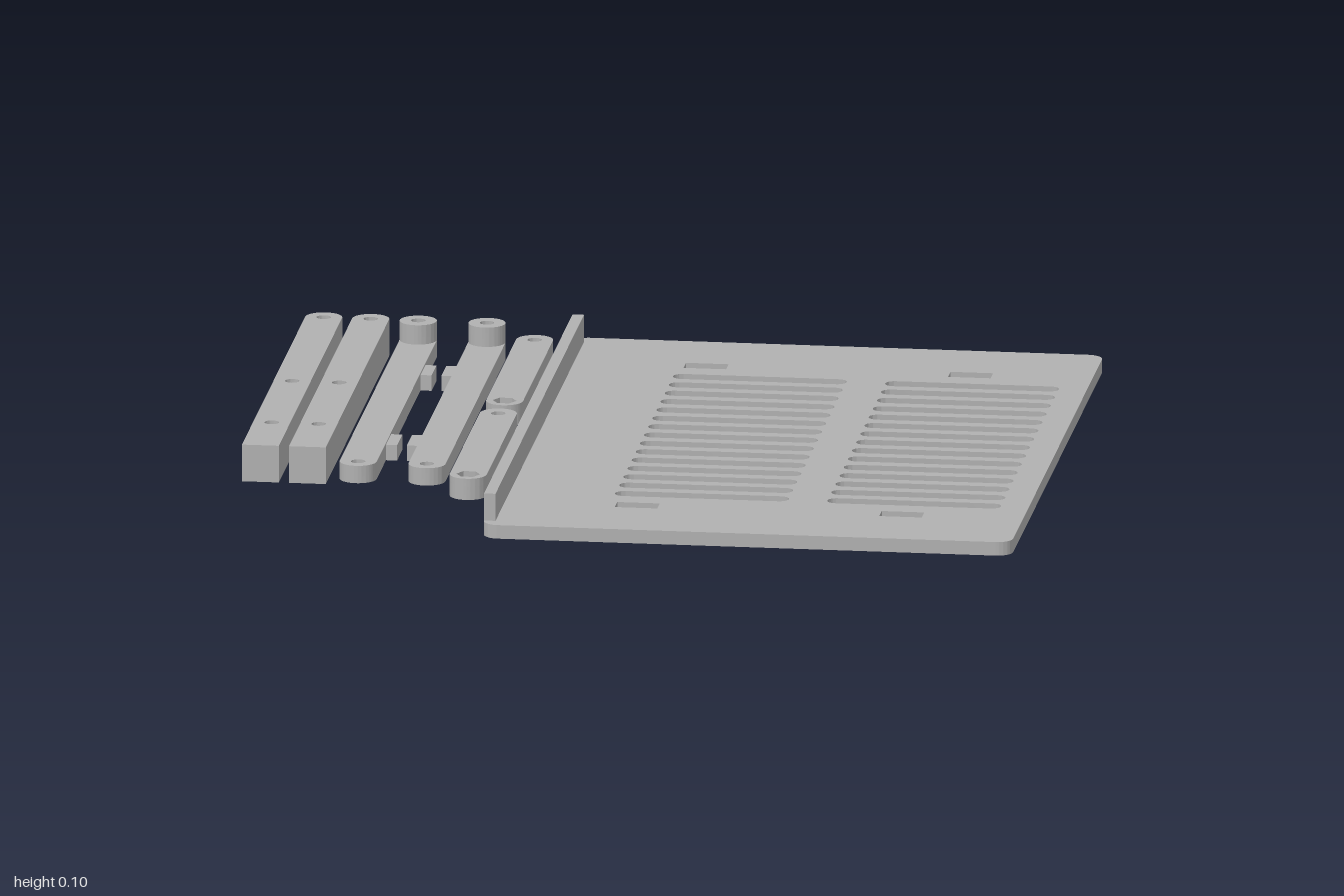
import * as THREE from 'three';
import { toCreasedNormals } from 'three/addons/utils/BufferGeometryUtils.js';

const R = 0.0465; // half width of every bar
const HOLE = 0.018;

export function createModel() {
  const model = new THREE.Group();
  const grey = new THREE.MeshStandardMaterial({ color: 0xb0b0b0 });
  grey.name = 'plain grey';

  // Outline with rounded corners, in plan (shape y = -z); separate radii for the back and front ends
  const roundRect = (Type, x0, x1, z0, z1, back, front = back) => {
    const s = new Type();
    s.moveTo(x0, -z1 + front);
    if (front) s.absarc(x0 + front, -z1 + front, front, Math.PI, 1.5 * Math.PI);
    else s.lineTo(x0, -z1);
    s.lineTo(x1 - front, -z1);
    if (front) s.absarc(x1 - front, -z1 + front, front, -Math.PI / 2, 0);
    s.lineTo(x1, -z0 - back);
    if (back) s.absarc(x1 - back, -z0 - back, back, 0, Math.PI / 2);
    else s.lineTo(x1, -z0);
    s.lineTo(x0 + back, -z0);
    if (back) s.absarc(x0 + back, -z0 - back, back, Math.PI / 2, Math.PI);
    else s.lineTo(x0, -z0);
    s.closePath();
    return s;
  };
  const circle = (x, z, r, sides = 0) => {
    const p = new THREE.Path();
    if (!sides) return p.absarc(x, -z, r, 0, 2 * Math.PI);
    return p.setFromPoints(Array.from({ length: sides }, (_, i) => {
      const a = (i / sides) * 2 * Math.PI;
      return new THREE.Vector2(x + r * Math.cos(a), -z + r * Math.sin(a));
    }));
  };
  const add = (name, geometry) => {
    const mesh = new THREE.Mesh(geometry, grey);
    mesh.name = name;
    model.add(mesh);
    return mesh;
  };
  // Extrude a plan outline upwards from y0 to y1
  const slab = (name, shape, holes, y0, y1) => {
    shape.holes.push(...holes);
    const g = new THREE.ExtrudeGeometry(shape, { depth: y1 - y0, bevelEnabled: false, curveSegments: 12 });
    g.rotateX(-Math.PI / 2).translate(0, y0, 0);
    return add(name, toCreasedNormals(g, 0.6));
  };
  const box = (name, x0, x1, y0, y1, z0, z1) =>
    add(name, new THREE.BoxGeometry(x1 - x0, y1 - y0, z1 - z0)
      .translate((x0 + x1) / 2, (y0 + y1) / 2, (z0 + z1) / 2));

  // Vented plate: two columns of slots and four rectangular openings
  const vents = [];
  for (const x of [-0.043, 0.492]) {
    for (let i = 0; i < 15; i++) {
      const z = -0.564 + i * 0.0803;
      vents.push(roundRect(THREE.Path, x, x + 0.438, z - 0.024, z + 0.024, 0.0238));
    }
  }
  for (const x of [-0.027, 0.64])
    for (const z of [-0.67, 0.667])
      vents.push(roundRect(THREE.Path, x, x + 0.107, z - 0.024, z + 0.024, 0));
  slab('ventedPlate', roundRect(THREE.Shape, -0.335, 1, -0.9, 0.9, 0.04), vents, 0, 0.035);
  box('plateLip', -0.335, -0.306, 0.035, 0.105, -0.86, 0.86);

  // Square leg bars, rounded at the back
  const legHoles = (x) => [-0.79, -0.178, 0.22].map((z) => circle(x, z, HOLE));
  slab('innerLegBar', roundRect(THREE.Shape, -0.8815, -0.7885, -0.836, 0.44, R, 0), legHoles(-0.835), 0, 0.095);

  // Outer leg: a core plus a side skin carrying two round blind recesses
  const core = new THREE.Shape();
  core.moveTo(-0.985, -0.44);
  core.lineTo(-0.907, -0.44);
  core.lineTo(-0.907, 0.7895);
  core.absarc(-0.9535, 0.7895, R, 0, Math.PI);
  core.lineTo(-0.985, 0.7895);
  core.closePath();
  slab('outerLegBar', core, legHoles(-0.9535), 0, 0.095);
  const side = roundRect(THREE.Shape, -0.44, 0.7895, -0.095, 0, 0);
  side.holes.push(circle(-0.39, -0.0475, 0.025), circle(0.715, -0.0475, 0.025));
  const skin = new THREE.ExtrudeGeometry(side, { depth: 0.015, bevelEnabled: false, curveSegments: 12 });
  skin.rotateY(Math.PI / 2).translate(-1, 0, 0);
  add('outerLegSide', toCreasedNormals(skin, 0.6));

  // Pair of mirrored low arms with a raised boss and two tabs each
  for (const [x, dir, label] of [[-0.715, 1, 'outer'], [-0.5415, -1, 'inner']]) {
    slab(label + 'Arm', roundRect(THREE.Shape, x - R, x + R, -0.836, 0.422, 0.0464),
      [circle(x, -0.79, HOLE), circle(x, 0.378, HOLE)], 0, 0.045);
    slab(label + 'ArmBoss', roundRect(THREE.Shape, x - R, x + R, -0.836, -0.743, 0.0464),
      [circle(x, -0.79, HOLE)], 0.045, 0.095);
    for (const [z0, z1] of [[-0.571, -0.475], [0.093, 0.195]]) {
      const a = x + dir * R, b = a + dir * 0.028;
      box(label + 'ArmTab', Math.min(a, b), Math.max(a, b), 0, 0.04, z0, z1);
    }
  }

  // Two short links with a hexagonal nut recess at the front hole
  for (const z of [-0.836, -0.13]) {
    const x = -0.4215;
    for (const [name, y0, y1, r, sides] of [['linkBase', 0, 0.035, HOLE, 0], ['linkTop', 0.035, 0.055, 0.03, 6]])
      slab(name, roundRect(THREE.Shape, x - R, x + R, z, z + 0.675, 0.0464),
        [circle(x, z + 0.046, HOLE), circle(x, z + 0.629, r, sides)], y0, y1);
  }
  return model;
}
